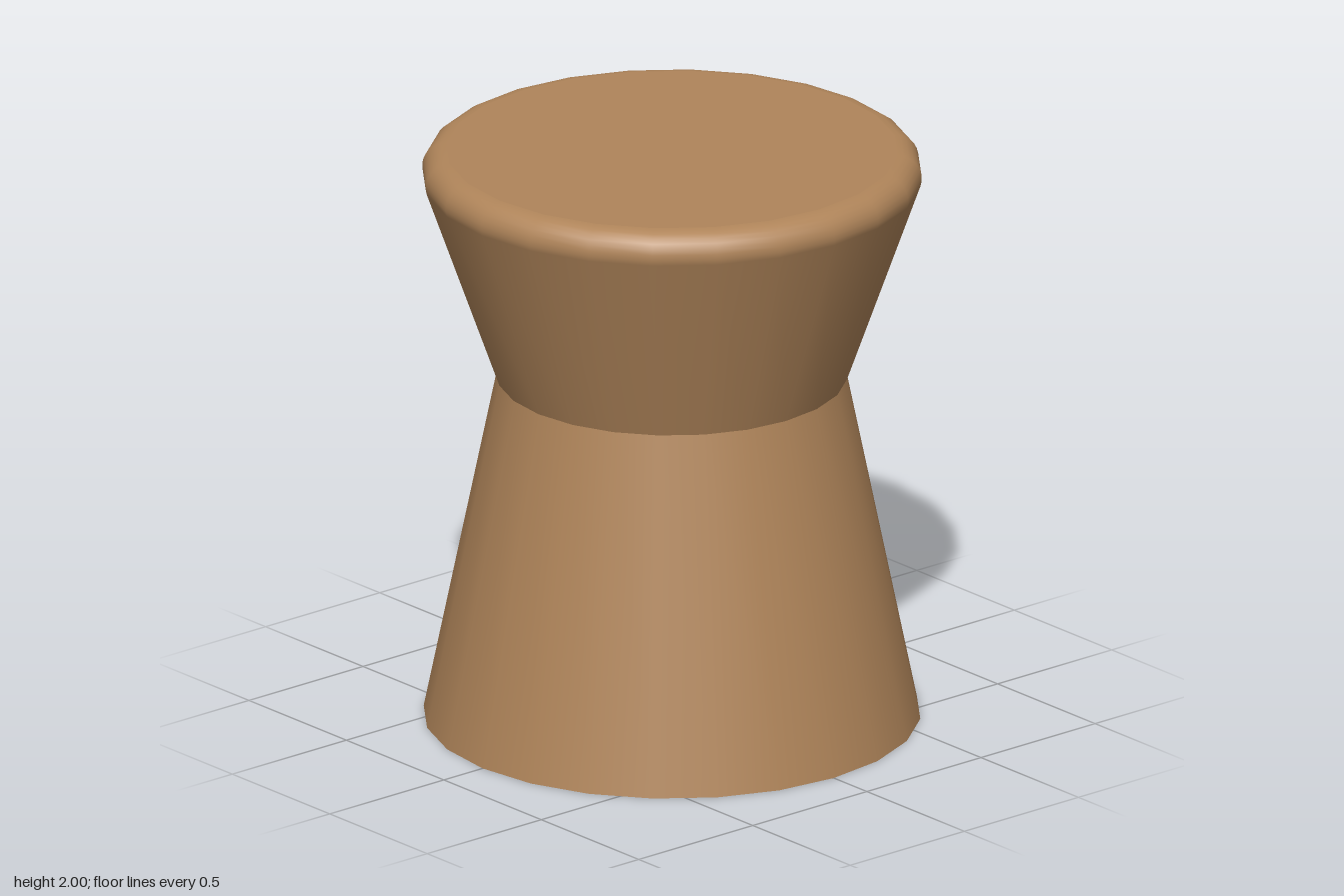
import * as THREE from 'three';

const SEGMENTS = 24;

export function createModel() {
  const group = new THREE.Group();
  group.name = 'stool';
  const wood = new THREE.MeshStandardMaterial({ color: 0xb0855a, side: THREE.DoubleSide });
  wood.name = 'warm wood';

  const add = (name, geometry) => {
    const mesh = new THREE.Mesh(geometry, wood);
    mesh.name = name;
    group.add(mesh);
    return mesh;
  };
  const lathe = (points) => new THREE.LatheGeometry(points, SEGMENTS);
  const waist = new THREE.Vector2(0.585, 1.2);

  // Hollow tapered base, open underneath
  add('base', lathe([new THREE.Vector2(0.83, 0), waist]));

  // Flared seat side, running into a rounded rim
  const rim = 0.08, rimX = 0.755, rimY = 1.92, steps = 8;
  const start = -THREE.MathUtils.degToRad(19.5);
  const profile = [waist];
  for (let i = 0; i <= steps; i++) {
    const a = THREE.MathUtils.lerp(start, Math.PI / 2, i / steps);
    profile.push(new THREE.Vector2(rimX + rim * Math.cos(a), rimY + rim * Math.sin(a)));
  }
  add('seatSide', lathe(profile));

  // Flat seat top
  const top = add('seatTop', new THREE.CircleGeometry(rimX, SEGMENTS).rotateX(-Math.PI / 2));
  top.position.y = 2;

  return group;
}
